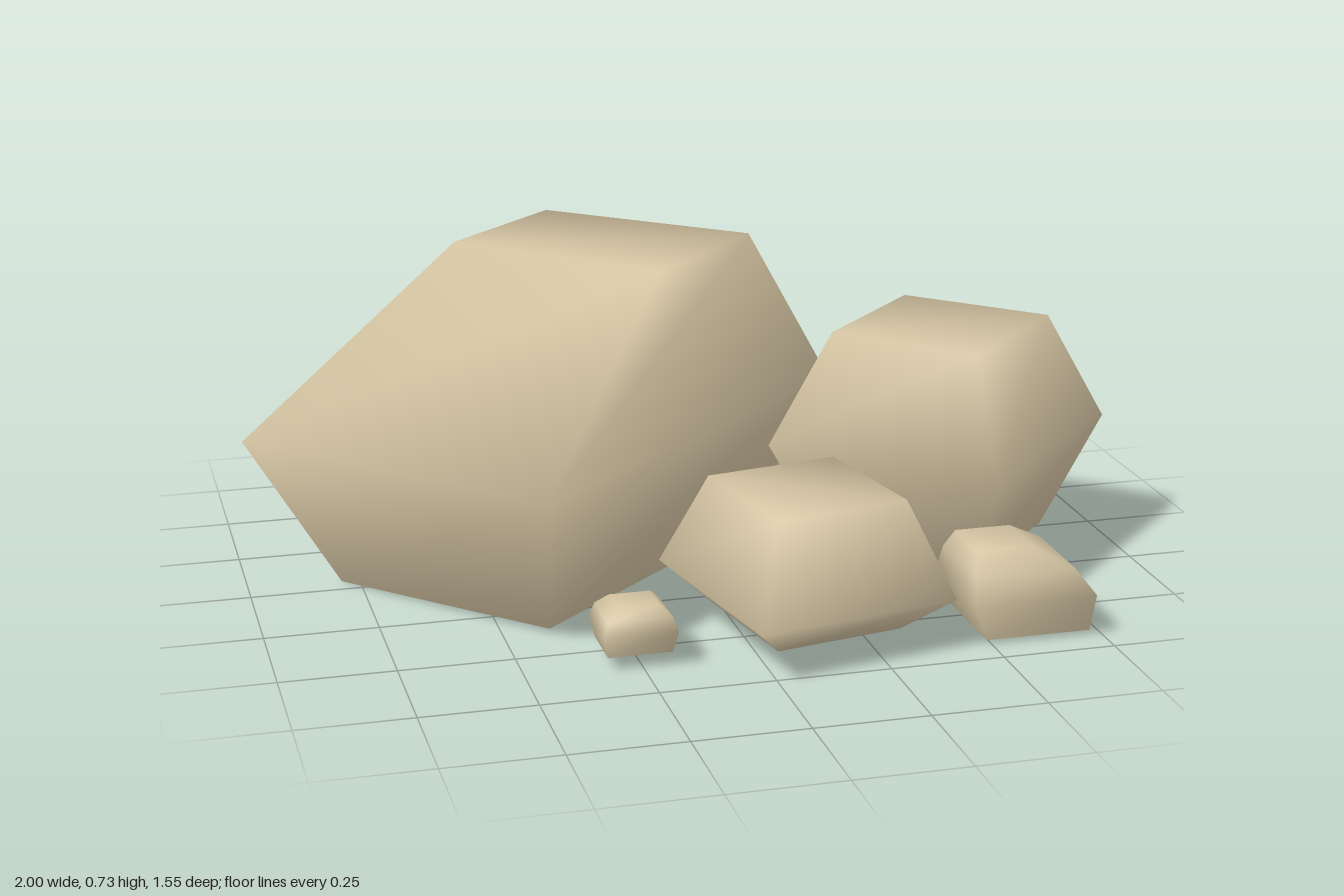
import * as THREE from 'three';

// Four-sided boulder lofted through rings of [x, y, z] corners, bottom to top.
// Corners run clockwise as seen from above; sides and top are smooth, the base is flat.
function boulder(name, rings, material) {
  const positions = rings.flat(2);
  const index = [];
  for (let r = 0; r < rings.length - 1; r++) {
    for (let i = 0; i < 4; i++) {
      const j = (i + 1) % 4;
      const a = r * 4 + j, b = r * 4 + i, c = b + 4, d = a + 4;
      index.push(a, b, c, a, c, d);
    }
  }
  const t = (rings.length - 1) * 4;
  index.push(t, t + 3, t + 2, t, t + 2, t + 1);
  // separate corners keep the edge of the base sharp
  const b = rings.length * 4;
  positions.push(...rings[0].flat());
  index.push(b, b + 1, b + 2, b, b + 2, b + 3);

  const geometry = new THREE.BufferGeometry();
  geometry.setAttribute('position', new THREE.Float32BufferAttribute(positions, 3));
  geometry.setIndex(index);
  geometry.computeVertexNormals();
  const mesh = new THREE.Mesh(geometry, material);
  mesh.name = name;
  return mesh;
}

// Ring made by scaling a plan outline about its centre
function scaledRing(outline, y, s) {
  const cx = outline.reduce((sum, p) => sum + p[0], 0) / 4;
  const cz = outline.reduce((sum, p) => sum + p[1], 0) / 4;
  return outline.map(([x, z]) => [cx + (x - cx) * s, y, cz + (z - cz) * s]);
}

// Ring aligned with the axes
const boxRing = (y, x0, x1, z0, z1) => [[x0, y, z0], [x1, y, z0], [x1, y, z1], [x0, y, z1]];

export function createModel() {
  const group = new THREE.Group();
  group.name = 'rockCluster';
  const stone = new THREE.MeshStandardMaterial({ color: 0xd4c4a2 });
  stone.name = 'sandstone';

  // Largest boulder, its top pushed towards the back
  group.add(boulder('largeBoulder', [
    [[-0.79, 0, -0.05], [-0.2, 0, -0.575], [0.175, 0.01, -0.14], [-0.4, 0.01, 0.375]],
    [[-1, 0.355, -0.03], [-0.165, 0.355, -0.78], [0.39, 0.365, -0.16], [-0.445, 0.37, 0.59]],
    [[-0.47, 0.71, -0.3], [-0.2, 0.71, -0.56], [0.19, 0.725, -0.15], [-0.08, 0.72, 0.115]],
  ], stone));

  // Medium boulder
  const medium = [[0.175, 0.08], [0.59, -0.34], [1, 0.055], [0.58, 0.48]];
  group.add(boulder('mediumBoulder', [
    scaledRing(medium, 0.03, 0.64),
    scaledRing(medium, 0.285, 1),
    scaledRing(medium, 0.54, 0.64),
  ], stone));

  // Low front rock
  const low = [[-0.135, 0.29], [0.32, 0.205], [0.415, 0.685], [-0.04, 0.775]];
  group.add(boulder('frontRock', [
    scaledRing(low, 0.03, 0.63),
    scaledRing(low, 0.113, 1),
    scaledRing(low, 0.322, 0.66),
  ], stone));

  // Small stones
  group.add(boulder('leftStone', [
    boxRing(0.008, 0.49, 0.725, 0.45, 0.67),
    boxRing(0.09, 0.46, 0.735, 0.43, 0.68),
    boxRing(0.15, 0.465, 0.69, 0.455, 0.66),
    boxRing(0.2, 0.475, 0.6, 0.5, 0.635),
  ], stone));
  group.add(boulder('rightStone', [
    boxRing(0.028, -0.325, -0.185, 0.485, 0.61),
    boxRing(0.075, -0.335, -0.175, 0.475, 0.62),
    boxRing(0.105, -0.325, -0.185, 0.485, 0.61),
    boxRing(0.13, -0.3, -0.21, 0.51, 0.59),
  ], stone));

  return group;
}
